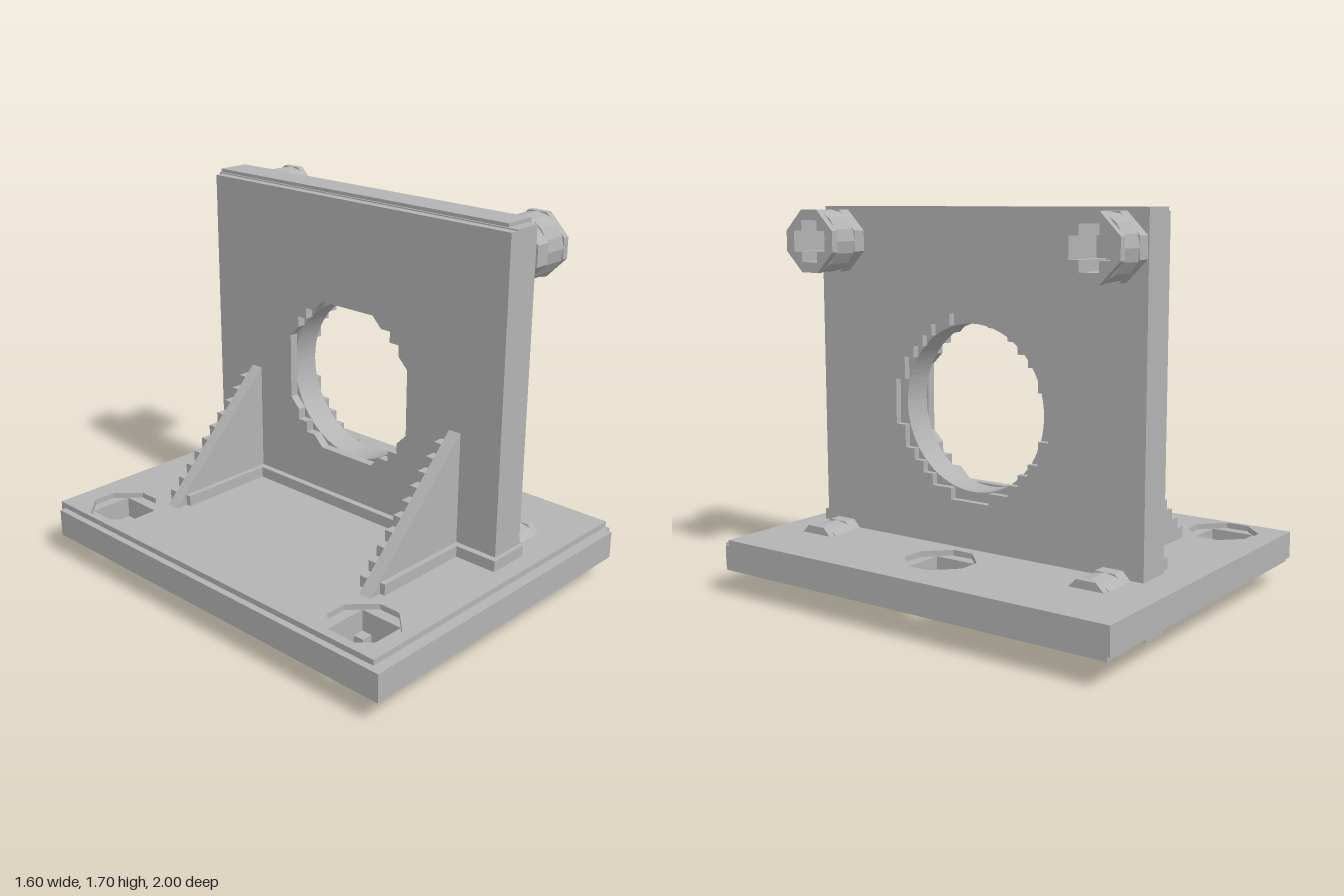
import * as THREE from 'three';

const grey = new THREE.MeshStandardMaterial({ color: 0xb3b3b3, flatShading: true });
grey.name = 'plain grey';

// Circle whose points snap to a coarse grid; step 0 keeps it round
function ring(cx, cy, r, step = 0, n = 64) {
  const pts = [];
  for (let i = 0; i < n; i++) {
    const a = (i / n) * Math.PI * 2;
    let x = Math.cos(a) * r, y = Math.sin(a) * r;
    if (step) {
      x = Math.round(x / step) * step;
      y = Math.round(y / step) * step;
    }
    const p = new THREE.Vector2(cx + x, cy + y);
    if (!pts.length || p.distanceTo(pts[pts.length - 1]) > 1e-4) pts.push(p);
  }
  if (pts[0].distanceTo(pts[pts.length - 1]) < 1e-4) pts.pop();
  return pts;
}

const rect = (x0, y0, x1, y1) =>
  [[x0, y0], [x1, y0], [x1, y1], [x0, y1]].map(([x, y]) => new THREE.Vector2(x, y));

function extrude(outline, holes, depth) {
  const shape = new THREE.Shape(outline);
  holes.forEach((h) => shape.holes.push(new THREE.Path(h)));
  return new THREE.ExtrudeGeometry(shape, { depth, bevelEnabled: false });
}

function add(parent, geometry, name) {
  const mesh = new THREE.Mesh(geometry, grey);
  mesh.name = name;
  parent.add(mesh);
  return mesh;
}

// Outline in (x, -z), raised from y0 to y1
const slabY = (outline, holes, y0, y1) =>
  extrude(outline, holes, y1 - y0).rotateX(-Math.PI / 2).translate(0, y0, 0);
// Outline in (-z, y), running from x0 to x1
const slabX = (outline, holes, x0, x1) =>
  extrude(outline, holes, x1 - x0).rotateY(Math.PI / 2).translate(x0, 0, 0);

function box(parent, name, x0, x1, y0, y1, z0, z1) {
  const m = add(parent, new THREE.BoxGeometry(x1 - x0, y1 - y0, z1 - z0), name);
  m.position.set((x0 + x1) / 2, (y0 + y1) / 2, (z0 + z1) / 2);
}

function group(parent, name) {
  const g = new THREE.Group();
  g.name = name;
  parent.add(g);
  return g;
}

export function createModel() {
  const model = new THREE.Group();
  model.name = 'mountingBracket';

  // Base plate: three layers with stepped rims and holes widening upward
  const base = group(model, 'basePlate');
  const boltHoles = (r) => [[-0.6, 0.75], [-0.6, -0.75], [0.5, 0]].map(([x, y]) => ring(x, y, r, 0.05));
  add(base, slabY(rect(-0.8, -1, 0.77, 0.97), boltHoles(0.1), 0.1, 0.13), 'baseBottom');
  const middle = [[-0.8, -1], [0.77, -1], [0.77, -0.97], [0.8, -0.97], [0.8, 1], [-0.77, 1], [-0.77, 0.97], [-0.8, 0.97]]
    .map(([x, y]) => new THREE.Vector2(x, y));
  add(base, slabY(middle, boltHoles(0.12), 0.13, 0.225), 'baseMiddle');
  add(base, slabY(rect(-0.77, -0.95, 0.8, 1), boltHoles(0.15), 0.225, 0.25), 'baseTop');

  // Upright plate: round bore with ragged rims, continuing below the base
  const wall = group(model, 'uprightPlate');
  const bore = (r, step) => [ring(0, 0.855, r, step, 96)];
  add(wall, slabX(rect(-0.85, 0, 0.83, 1.68), bore(0.375, 0.05), 0.1, 0.14), 'uprightBack');
  add(wall, slabX(rect(-0.85, 0, 0.85, 1.685), bore(0.36, 0), 0.14, 0.27), 'uprightCore');
  add(wall, slabX(rect(-0.8, 0.04, 0.85, 1.7), bore(0.385, 0.05), 0.27, 0.3), 'uprightFront');
  box(wall, 'uprightTopRim', 0.15, 0.27, 1.685, 1.7, -0.85, 0.8);
  box(wall, 'uprightFoot', 0.07, 0.27, 0.24, 0.3, -0.83, 0.87);

  // Gussets: a smooth triangle with a stair-toothed layer behind it
  const slope = [[-0.46, 0.24], [0.1, 0.24], [0.1, 0.8]].map(([x, y]) => new THREE.Vector2(x, y));
  const stairs = [new THREE.Vector2(0.1, 0.24), new THREE.Vector2(0.1, 0.75)];
  for (let i = 0; i < 10; i++) {
    const x = 0.05 - i * 0.05;
    stairs.push(new THREE.Vector2(x, 0.75 - i * 0.05), new THREE.Vector2(x, 0.7 - i * 0.05));
  }
  stairs.push(new THREE.Vector2(-0.4, 0.24));
  [-0.61, 0.585].forEach((z) => {
    const gusset = group(model, z > 0 ? 'frontGusset' : 'backGusset');
    add(gusset, extrude(slope, [], 0.06), 'gussetWeb').position.z = z;
    add(gusset, extrude(stairs, [], 0.04), 'gussetTeeth').position.z = z - 0.04;
    box(gusset, 'gussetLedge', -0.39, 0.1, 0.24, 0.3, z + 0.05, z + 0.085);
  });

  // Four hollow bosses on the upright plate
  for (const y of [0.15, 1.55]) {
    for (const u of [-0.71, 0.71]) {
      const boss = group(model, (y > 1 ? 'upper' : 'lower') + (u < 0 ? 'Front' : 'Back') + 'Boss');
      const hole = [ring(u, y, 0.09, 0.045)];
      add(boss, slabX(ring(u, y, 0.13, 0.045), hole, 0.29, 0.36), 'bossRoot');
      add(boss, slabX(ring(u, y, 0.135, 0, 16), hole, 0.36, 0.47), 'bossBarrel');
      add(boss, slabX(ring(u, y, 0.13, 0.045), hole, 0.47, 0.5), 'bossRim');
    }
  }
  return model;
}
